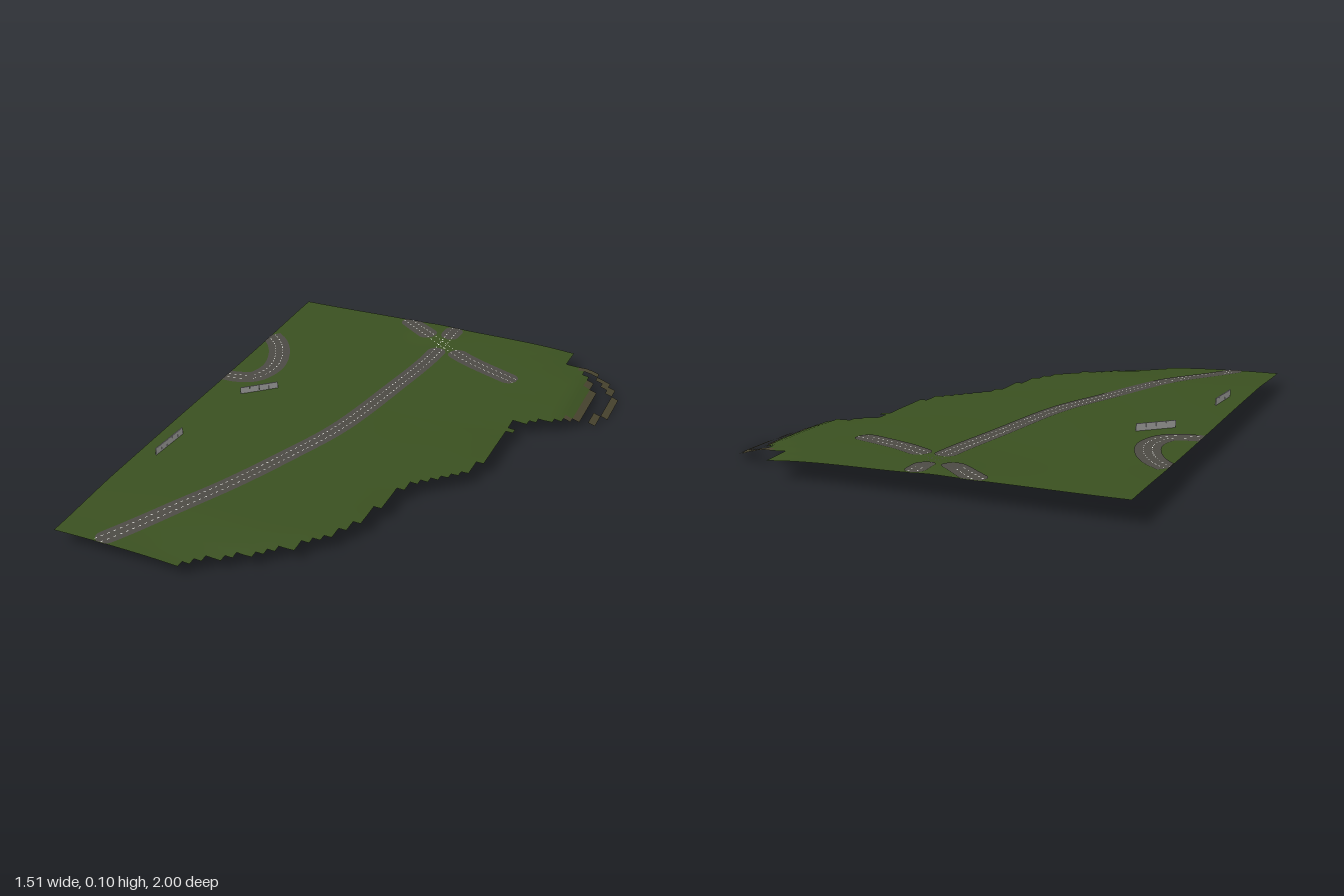
import * as THREE from 'three';

const CELL = 2 / 70, X0 = -0.755;

// Coast: x of the east edge at each z
const COAST = [[-1, .49], [-.89, .49], [-.87, .57], [-.82, .62], [-.75, .66], [-.5, .66], [-.43, .6], [-.38, .53],
  [-.31, .43], [-.28, .46], [-.08, .45], [.01, .43], [.08, .4], [.15, .33], [.23, .25], [.31, .22], [.4, .21],
  [.5, .18], [.58, .165], [.65, .12], [.75, .04], [.83, -.05], [.87, -.12], [.93, -.2], [.97, -.26], [1, -.26]];

function coastX(z) {
  for (let i = 1; i < COAST.length; i++) {
    const [z0, x0] = COAST[i - 1], [z1, x1] = COAST[i];
    if (z <= z1) return x0 + (x1 - x0) * Math.max(0, (z - z0) / (z1 - z0));
  }
  return COAST[COAST.length - 1][1];
}

// Terrain height: gentle plain, sloping coast, steep bank in the north east
function height(x, z) {
  const edge = (coastX(z - 0.08) + coastX(z) + coastX(z + 0.08)) / 3;
  const inland = Math.max(0, edge - x);
  let y = 0.078 - 0.003 * z - 0.019 * Math.exp(-inland / 0.18);
  y -= 0.012 * THREE.MathUtils.smoothstep(z, 0.6, 1);
  y += 0.007 * THREE.MathUtils.smoothstep(-z, 0.5, 1);
  y += 0.008 * Math.exp(-((x + 0.1) ** 2 + (z + 0.92) ** 2) / 0.008);
  y += 0.0012 * Math.sin(x * 9 + 1) * Math.sin(z * 7);
  y -= 0.35 * Math.max(0, x - 0.6);
  return Math.max(0, y);
}

function toMesh(name, pos, index, material) {
  const g = new THREE.BufferGeometry();
  g.setAttribute('position', new THREE.Float32BufferAttribute(pos, 3));
  g.setIndex(index);
  g.computeVertexNormals();
  const m = new THREE.Mesh(g, material);
  m.name = name;
  return m;
}

function distToPath(x, z, path) {
  let best = Infinity;
  for (let i = 1; i < path.length; i++) {
    const [ax, az] = path[i - 1], [bx, bz] = path[i];
    const dx = bx - ax, dz = bz - az;
    const t = THREE.MathUtils.clamp(((x - ax) * dx + (z - az) * dz) / (dx * dx + dz * dz), 0, 1);
    best = Math.min(best, Math.hypot(x - ax - dx * t, z - az - dz * t));
  }
  return best;
}

// Square terrain cells, sorted into grass and bare shore
function terrain(grass, shore) {
  const nx = 53, nz = 70, pos = [], grassIdx = [], shoreIdx = [];
  for (let j = 0; j <= nz; j++) for (let i = 0; i <= nx; i++) {
    const x = X0 + i * CELL, z = -1 + j * CELL;
    pos.push(x, height(x, z), z);
  }
  const outer = [[.57, -.875], [.64, -.86], [.70, -.82], [.74, -.76], [.74, -.62], [.71, -.53]];
  for (let j = 0; j < nz; j++) for (let i = 0; i < nx; i++) {
    const x = X0 + (i + 0.5) * CELL, z = -1 + (j + 0.5) * CELL;
    const d = coastX(z) - x;
    const ring = distToPath(x, z, outer) < 0.0145 || Math.hypot(x - .67, z + .49) < 0.018;
    if (d < 0 && !ring) continue;
    const a = j * (nx + 1) + i, b = a + 1, c = a + nx + 1, e = c + 1;
    const bare = d < 0 || (x > 0.63 && d < CELL);
    (bare ? shoreIdx : grassIdx).push(a, c, b, b, c, e);
  }
  const m = toMesh('terrain', pos, [...grassIdx, ...shoreIdx], [grass, shore]);
  m.geometry.addGroup(0, grassIdx.length, 0);
  m.geometry.addGroup(grassIdx.length, shoreIdx.length, 1);
  return m;
}

const curveOf = pts => new THREE.CatmullRomCurve3(pts.map(([x, z]) => new THREE.Vector3(x, 0, z)));

// Ribbon draped on the ground between two curve fractions, optionally with round ends
function ribbon(pos, index, curve, u0, u1, width, offset, lift, steps, across, round) {
  const base = pos.length / 3, length = curve.getLength() * (u1 - u0);
  for (let s = 0; s <= steps; s++) {
    const f = s / steps, u = u0 + (u1 - u0) * f;
    const p = curve.getPointAt(u), t = curve.getTangentAt(u);
    const end = Math.min(f, 1 - f) * length, r = width / 2;
    const half = round && end < r ? Math.sqrt(Math.max(0, r * r - (r - end) ** 2)) : r;
    for (let k = 0; k <= across; k++) {
      const o = offset + half * (2 * k / across - 1);
      const x = Math.max(X0, p.x - t.z * o), z = THREE.MathUtils.clamp(p.z + t.x * o, -1, 1);
      pos.push(x, height(x, z) + lift, z);
    }
  }
  const w = across + 1;
  for (let s = 0; s < steps; s++) for (let k = 0; k < across; k++) {
    const a = base + s * w + k;
    index.push(a, a + w, a + 1, a + 1, a + w, a + w + 1);
    }
}

function road(name, pts, width, asphalt, paint, spans) {
  const group = new THREE.Group(), curve = curveOf(pts), len = curve.getLength();
  group.name = name;
  // Paved surface, showing above and below the ground sheet
  for (const lift of [0.0014, -0.0014]) {
    const pos = [], index = [];
    for (const [a, b] of spans) ribbon(pos, index, curve, a, b, width, 0, lift, Math.ceil((b - a) * len / 0.008), 4, true);
    if (lift < 0) index.reverse();
    group.add(toMesh(lift > 0 ? 'roadSurface' : 'roadUnderside', pos, index, asphalt));
  }
  // Two rows of small painted dashes
  const pos = [], index = [], n = Math.floor(len / 0.024);
  for (let i = 0; i < n; i++) for (const side of [-1, 1]) {
    const u = (i + 0.25 + side * 0.15) / n;
    ribbon(pos, index, curve, u, u + 0.4 / n, 0.003, side * 0.015, 0.0024, 1, 1, false);
  }
  group.add(toMesh('laneDashes', pos, index, paint));
  return group;
}

// Low wall of thin panels set end to end
function wall(name, [ax, az], [bx, bz], panels, material) {
  const group = new THREE.Group();
  group.name = name;
  const step = Math.hypot(bx - ax, bz - az) / panels;
  for (let i = 0; i < panels; i++) {
    const t = (i + 0.5) / panels, x = ax + (bx - ax) * t, z = az + (bz - az) * t;
    const m = new THREE.Mesh(new THREE.BoxGeometry(step * 0.97, 0.028, 0.004), material);
    m.name = 'wallPanel';
    m.position.set(x, height(x, z) + 0.013, z);
    m.rotation.y = -Math.atan2(bz - az, bx - ax);
    group.add(m);
  }
  return group;
}

export function createModel() {
  const mat = (name, color) => new THREE.MeshStandardMaterial({ name, color, side: THREE.DoubleSide });
  const grass = mat('grass', 0x3a5020), shore = mat('shore', 0x48442f);
  const asphalt = mat('asphalt', 0x4c4a44), paint = mat('paint', 0xe8e8e4), concrete = mat('concrete', 0xa2a2a0);

  const model = new THREE.Group();
  model.name = 'coastalTerrain';
  model.add(terrain(grass, shore));
  model.add(road('mainRoad', [[-.585, 1], [-.46, .77], [-.35, .555], [-.235, .26], [-.145, 0], [-.077, -.4],
    [-.035, -.71], [-.03, -1]], 0.078, asphalt, paint, [[0, 0.9], [0.94, 1]]));
  model.add(road('crossRoad', [[-.27, -1], [-.12, -.885], [-.02, -.815], [.12, -.73], [.36, -.635]],
    0.085, asphalt, paint, [[0, 0.3], [0.5, 1]]));
  model.add(road('loopRoad', [[-.755, -.625], [-.69, -.56], [-.635, -.46], [-.612, -.35], [-.64, -.255], [-.7, -.225],
    [-.755, -.22]], 0.09, asphalt, paint, [[0, 1]]));
  // Square off the loop road where it leaves the map
  for (const z of [-.625, -.22]) {
    const pos = [], index = [];
    ribbon(pos, index, curveOf([[X0, z], [X0 + .045, z + (z < -.5 ? .04 : 0)]]), 0, 1, 0.085, 0, 0.0012, 4, 4, false);
    model.add(toMesh('loopRoadEnd', pos, index, asphalt));
  }
  model.add(wall('northWall', [-.625, -.1], [-.51, -.205], 4, concrete));
  model.add(wall('westWall', [-.673, .275], [-.684, .45], 5, concrete));
  return model;
}
